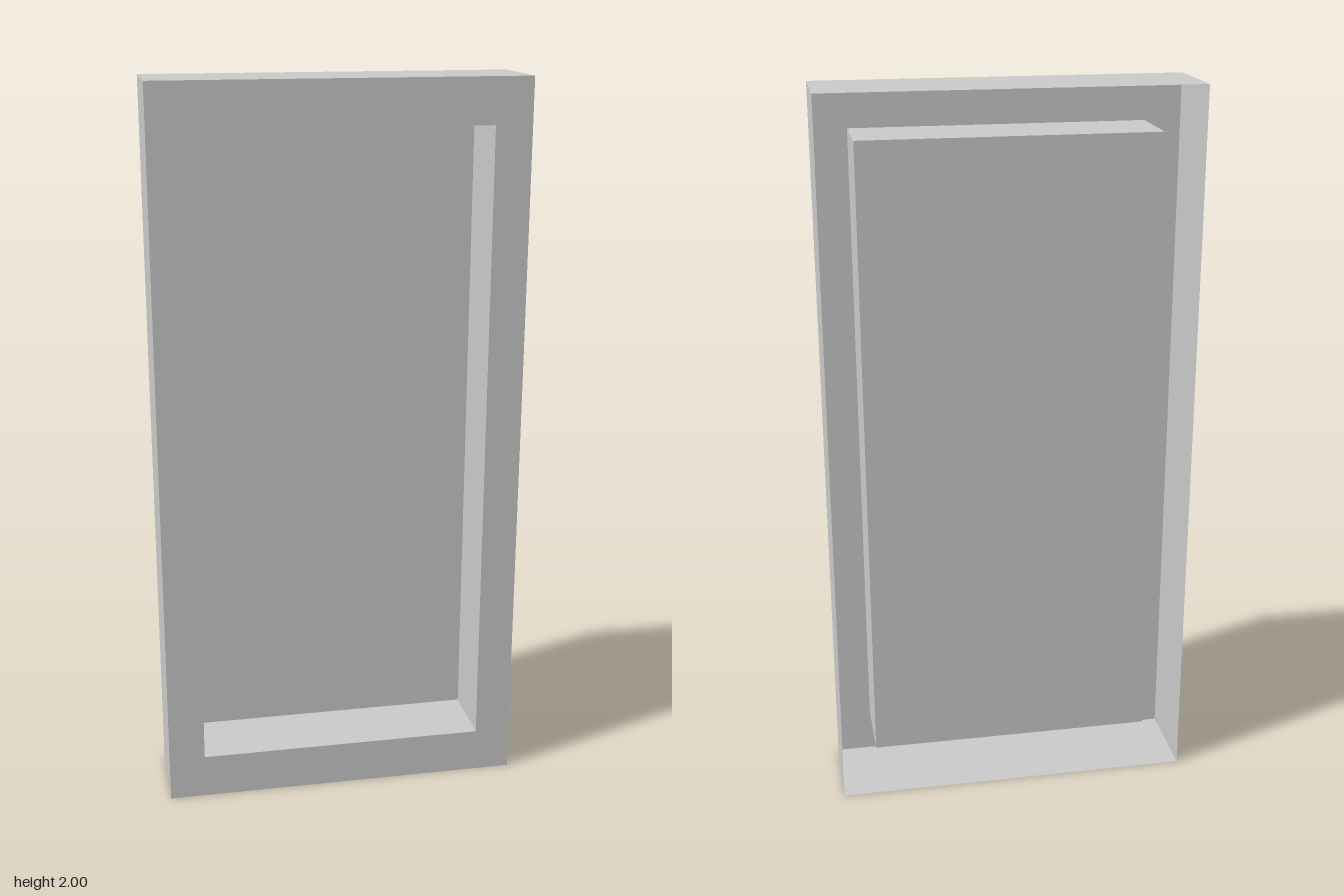
import * as THREE from 'three';

const material = new THREE.MeshStandardMaterial({ color: 0xcccccc, side: THREE.DoubleSide });

const FRONT = 0.122, BACK = -0.122, PANEL = -0.078;
const MID = 1;
const outer = { w: 1, h: 2 };
const inner = { w: 0.8, h: 1.754 };

function addMesh(parent, name, geometry, x = 0, y = 0, z = 0) {
  const mesh = new THREE.Mesh(geometry, material);
  mesh.name = name;
  mesh.position.set(x, y, z);
  parent.add(mesh);
  return mesh;
}

// Clockwise or counter-clockwise rectangle centred on the origin
function rectangle(Type, { w, h }) {
  const path = new Type();
  path.moveTo(-w / 2, -h / 2);
  path.lineTo(w / 2, -h / 2);
  path.lineTo(w / 2, h / 2);
  path.lineTo(-w / 2, h / 2);
  path.closePath();
  return path;
}

// Four thin walls around a rectangle, open at both ends; facing is 1 outward, -1 inward
function addSleeve(parent, name, { w, h }, zBack, zFront, facing) {
  const sleeve = new THREE.Group();
  sleeve.name = name;
  const depth = zFront - zBack, z = (zFront + zBack) / 2;
  for (const s of [-1, 1]) {
    const side = addMesh(sleeve, s > 0 ? 'leftWall' : 'rightWall',
      new THREE.PlaneGeometry(depth, h), s * w / 2, MID, z);
    side.rotation.y = s * facing * Math.PI / 2;
    const level = addMesh(sleeve, s > 0 ? 'topWall' : 'bottomWall',
      new THREE.PlaneGeometry(w, depth), 0, MID + s * h / 2, z);
    level.rotation.x = -s * facing * Math.PI / 2;
  }
  parent.add(sleeve);
}

export function createModel() {
  const model = new THREE.Group();
  model.name = 'recessedFrame';

  // Front border with the opening cut out
  const border = rectangle(THREE.Shape, outer);
  border.holes.push(rectangle(THREE.Path, inner));
  addMesh(model, 'frontBorder', new THREE.ShapeGeometry(border), 0, MID, FRONT);

  // Outer casing, open at the back
  addSleeve(model, 'outerCasing', outer, BACK, FRONT, 1);

  // Recess walls and the panel that closes them
  addSleeve(model, 'recessWalls', inner, PANEL, FRONT, -1);
  addMesh(model, 'recessPanel', new THREE.PlaneGeometry(inner.w, inner.h), 0, MID, PANEL);

  return model;
}
